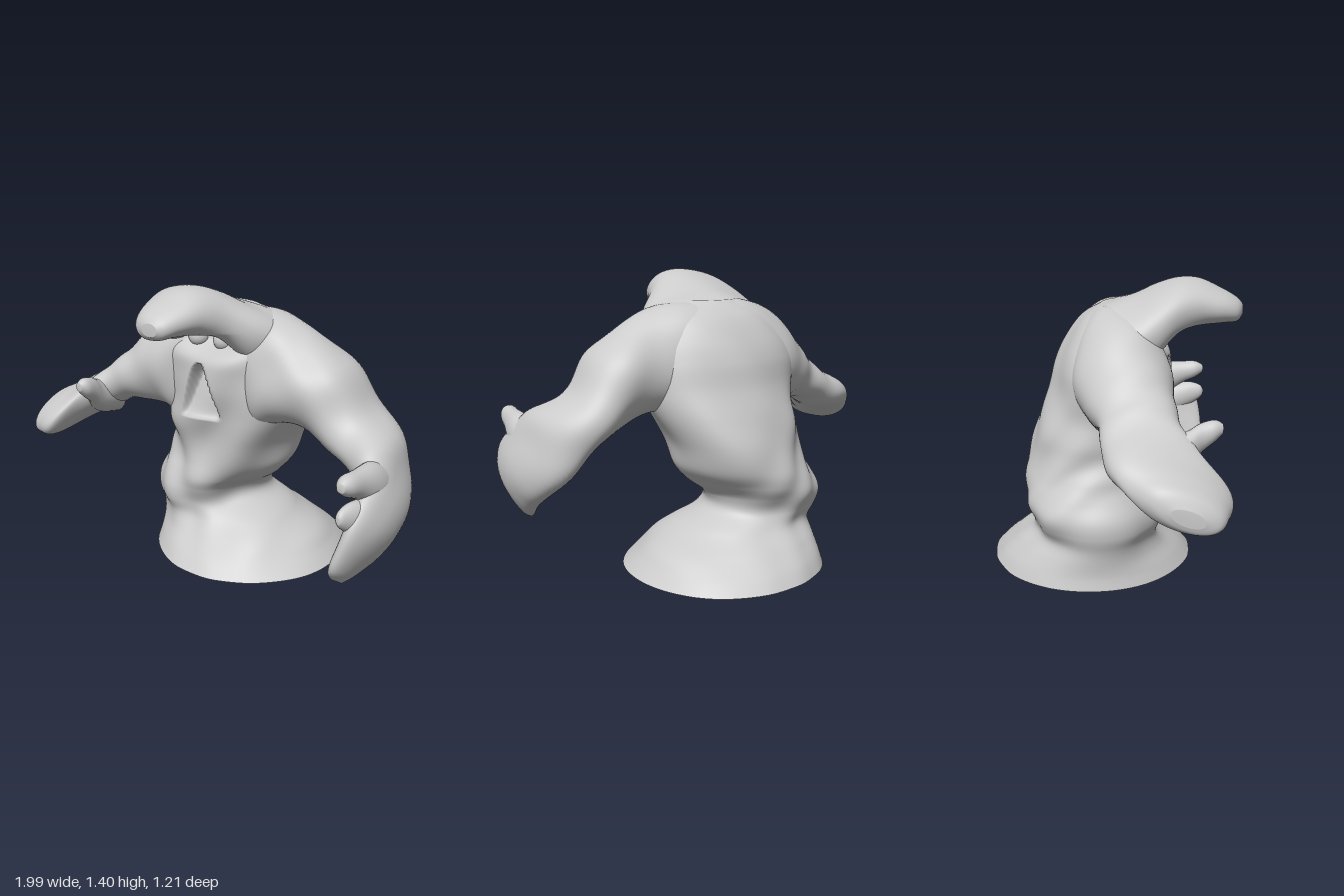
import * as THREE from 'three';

const material = new THREE.MeshStandardMaterial({ color: 0xcccccc });
const gauss = (d, w) => Math.exp(-(d * d) / (w * w));

// Smooth value between the rows of a section table
function sample(rows, t) {
  const n = rows.length - 1;
  const i = Math.min(Math.floor(t * n), n - 1);
  const f = t * n - i;
  const at = (k) => rows[Math.max(0, Math.min(n, k))];
  return rows[i].map((b, k) => {
    const a = at(i - 1)[k], c = at(i + 1)[k], d = at(i + 2)[k];
    return b + 0.5 * f * (c - a + f * (2 * a - 5 * b + 4 * c - d + f * (3 * (b - c) + d - a)));
  });
}

// Skin over sections of [centre xyz, half axis u xyz, half axis v xyz]
function loft(rows, rings, sides, power, shapePoint) {
  const pos = [], index = [];
  for (let r = 0; r <= rings; r++) {
    const s = sample(rows, r / rings);
    const c = new THREE.Vector3(s[0], s[1], s[2]);
    for (let j = 0; j < sides; j++) {
      const a = (j / sides) * Math.PI * 2;
      const cu = Math.sign(Math.cos(a)) * Math.abs(Math.cos(a)) ** power;
      const cv = Math.sign(Math.sin(a)) * Math.abs(Math.sin(a)) ** power;
      const p = new THREE.Vector3(s[3] * cu + s[6] * cv, s[4] * cu + s[7] * cv, s[5] * cu + s[8] * cv);
      const fade = Math.min(1, p.length() / 0.12);
      const out = p.clone().normalize();
      shapePoint(p.add(c), out, fade);
      pos.push(p.x, p.y, p.z);
    }
  }
  const end = rows[rows.length - 1];
  pos.push(end[0], end[1], end[2]);
  const tip = pos.length / 3 - 1;
  // Turn the faces outwards whichever way the sections run
  const m = rows[1], k = rows[2];
  const w = new THREE.Vector3(m[3], m[4], m[5]).cross(new THREE.Vector3(m[6], m[7], m[8]));
  const flip = w.dot(new THREE.Vector3(k[0] - m[0], k[1] - m[1], k[2] - m[2])) < 0;
  const tri = (a, b, c) => (flip ? index.push(a, c, b) : index.push(a, b, c));
  for (let r = 0; r < rings; r++) {
    for (let j = 0; j < sides; j++) {
      const a = r * sides + j, b = r * sides + (j + 1) % sides;
      tri(a, b, a + sides);
      tri(b, b + sides, a + sides);
    }
  }
  for (let j = 0; j < sides; j++) tri(rings * sides + j, rings * sides + (j + 1) % sides, tip);
  const g = new THREE.BufferGeometry();
  g.setAttribute('position', new THREE.Float32BufferAttribute(pos, 3));
  g.setIndex(index);
  g.computeVertexNormals();
  return g;
}

// Slanting cloth folds
function folds(p) {
  const warp = 1.2 * Math.sin(5 * p.x + 3 * p.y) + 0.8 * Math.sin(6 * p.z - 4 * p.y);
  return 0.013 * Math.sin(15 * p.y - 13 * p.x + 4 * p.z + warp)
    + 0.006 * Math.sin(19 * p.x + 9 * p.y - 8 * p.z + 2 * warp);
}

// Folds of the robe, with the eye slot and the pointed mouth pressed in at the front
function robe(p, out) {
  const low = THREE.MathUtils.smoothstep(p.y, 0, 0.3);
  const high = THREE.MathUtils.smoothstep(p.y, 0.65, 0.95);
  let inset = 0;
  if (out.z > 0) {
    inset = 0.11 * gauss(p.x, 0.2) * gauss(p.y - 1.13, 0.06);
    const t = (p.y - 0.75) / 0.27;
    if (t > 0 && t < 1) {
      const half = 0.105 * Math.sqrt(1 - t);
      inset += 0.1 * Math.sqrt(t) * THREE.MathUtils.smoothstep(half - Math.abs(p.x + 0.025), -0.008, 0.02);
    }
  }
  p.addScaledVector(out, folds(p) * (0.25 + (0.85 + 0.4 * out.z) * low * (1 - 0.7 * high)));
  p.z -= inset;
}

// Hood whose underside arches up over the eyes
function cowl(p, out, fade) {
  if (p.y < 1.2) p.y += (1.2 - p.y) * gauss(p.x + 0.02, 0.19) * THREE.MathUtils.smoothstep(p.z, 0.05, 0.2);
  p.addScaledVector(out, folds(p) * 0.4 * fade);
}

const sleeve = (p, out, fade) => p.addScaledVector(out, folds(p) * 0.6 * fade);

// [y, x from, x to, z from, z to]
const bodyRows = [
  [0, -0.47, 0.51, -0.61, 0.38], [0.06, -0.46, 0.45, -0.56, 0.33], [0.13, -0.46, 0.38, -0.48, 0.26],
  [0.2, -0.46, 0.25, -0.4, 0.21], [0.27, -0.47, 0.11, -0.39, 0.2], [0.35, -0.48, 0.11, -0.405, 0.21],
  [0.42, -0.46, 0.19, -0.415, 0.22], [0.5, -0.42, 0.26, -0.42, 0.22], [0.62, -0.365, 0.3, -0.405, 0.23],
  [0.75, -0.38, 0.36, -0.36, 0.25], [0.88, -0.4, 0.4, -0.31, 0.27], [1.0, -0.4, 0.41, -0.28, 0.27],
  [1.1, -0.37, 0.4, -0.235, 0.27], [1.2, -0.29, 0.33, -0.165, 0.26], [1.27, -0.14, 0.16, -0.07, 0.18],
].map(([y, x0, x1, z0, z1]) => [(x0 + x1) / 2, y, (z0 + z1) / 2, (x1 - x0) / 2, 0, 0, 0, 0, (z1 - z0) / 2]);

// [z, x from, x to, y from, y to]
const hoodRows = [
  [-0.2, -0.12, 0.12, 1.0, 1.1], [-0.1, -0.27, 0.28, 0.9, 1.24], [0, -0.33, 0.36, 0.9, 1.285],
  [0.1, -0.34, 0.34, 0.92, 1.315], [0.2, -0.31, 0.28, 0.98, 1.36], [0.3, -0.25, 0.2, 1.11, 1.39],
  [0.4, -0.2, 0.15, 1.17, 1.385], [0.5, -0.16, 0.11, 1.19, 1.345], [0.57, -0.11, 0.07, 1.195, 1.305],
  [0.6, -0.05, 0.03, 1.22, 1.275],
].map(([z, x0, x1, y0, y1]) => [(x0 + x1) / 2, (y0 + y1) / 2, z, (x1 - x0) / 2, 0, 0, 0, (y1 - y0) / 2, 0]);

// Both arms spring from one section inside the chest
const chest = [0, 1.0, -0.04, 0, 0.27, 0, 0, 0, 0.15];

const rightArmRows = [chest,
  [-0.22, 0.97, 0.03, -0.02, 0.28, 0, 0, 0, 0.215],
  [-0.37, 0.925, 0.05, -0.04, 0.21, 0, 0, 0, 0.21],
  [-0.55, 0.84, 0.11, -0.03, 0.12, 0, 0, 0, 0.17],
  [-0.7, 0.745, 0.16, 0.03, 0.125, 0.02, 0, -0.03, 0.2],
  [-0.82, 0.675, 0.25, 0.03, 0.1, 0.03, 0.02, -0.07, 0.23],
  [-0.91, 0.64, 0.28, 0.02, 0.095, 0.02, 0, -0.06, 0.19],
  [-0.97, 0.625, 0.3, 0.01, 0.075, 0.01, 0, -0.05, 0.14],
  [-0.995, 0.61, 0.3, 0, 0.035, 0, 0, -0.02, 0.07],
];

const leftArmRows = [chest,
  [0.22, 0.98, 0.02, 0.02, 0.275, 0, 0, 0, 0.21],
  [0.38, 0.97, 0.03, 0.06, 0.22, 0, 0, 0, 0.205],
  [0.55, 0.9, 0.01, 0.07, 0.165, 0, 0, 0, 0.21],
  [0.7, 0.77, 0.0, 0.06, 0.11, 0, 0, 0, 0.2],
  [0.82, 0.67, 0.05, 0.09, 0.09, 0, 0, 0.06, 0.21],
  [0.895, 0.56, 0.15, 0.085, 0.03, 0, 0, 0.12, 0.18],
  [0.91, 0.47, 0.27, 0.08, 0.02, 0, 0, 0.12, 0.18],
  [0.89, 0.38, 0.35, 0.065, 0.02, 0, 0, 0.1, 0.15],
  [0.85, 0.29, 0.4, 0.04, 0.01, 0, 0, 0.05, 0.09],
  [0.83, 0.25, 0.41, 0.015, 0, 0, 0, 0.02, 0.03],
];

// Fingers as [x, y, z, half width, half height], running forwards
const fingers = {
  rightThumb: [[-0.68, 0.73, 0.16, 0.1, 0.1], [-0.64, 0.76, 0.3, 0.07, 0.085], [-0.61, 0.81, 0.37, 0.048, 0.065],
    [-0.6, 0.84, 0.43, 0.04, 0.047], [-0.6, 0.85, 0.465, 0.018, 0.02]],
  leftThumb: [[0.87, 0.6, 0.12, 0.08, 0.12], [0.885, 0.655, 0.26, 0.07, 0.105], [0.885, 0.7, 0.38, 0.05, 0.065],
    [0.88, 0.72, 0.46, 0.042, 0.047], [0.88, 0.725, 0.505, 0.018, 0.02]],
  leftFinger: [[0.9, 0.5, 0.2, 0.08, 0.11], [0.9, 0.54, 0.34, 0.065, 0.09], [0.89, 0.57, 0.43, 0.045, 0.07],
    [0.88, 0.585, 0.49, 0.025, 0.04], [0.88, 0.585, 0.51, 0.01, 0.015]],
};

export function createModel() {
  const model = new THREE.Group();
  const add = (name, geometry) => {
    const mesh = new THREE.Mesh(geometry, material);
    mesh.name = name;
    model.add(mesh);
    return mesh;
  };

  // Robe and its flat underside
  const sides = 230;
  const body = loft(bodyRows, 170, sides, 1, robe);
  add('robe', body);
  const p = body.attributes.position;
  const rim = Array.from({ length: sides }, (_, j) => new THREE.Vector2(p.getX(j), p.getZ(j)));
  add('underside', new THREE.ShapeGeometry(new THREE.Shape(rim)).rotateX(Math.PI / 2));

  // Hood, arms and fingers
  add('hood', loft(hoodRows, 80, 100, 0.95, cowl));
  add('rightArm', loft(rightArmRows, 70, 64, 0.95, sleeve));
  add('leftArm', loft(leftArmRows, 80, 64, 0.95, sleeve));
  for (const [name, points] of Object.entries(fingers)) {
    const rows = points.map(([x, y, z, w, h]) => [x, y, z, w, 0, 0, 0, h, 0]);
    add(name, loft(rows, 24, 24, 1, () => {}));
  }

  // Eyes in the slot under the hood
  for (const x of [-0.09, 0.055]) {
    const eye = add('eye', new THREE.SphereGeometry(0.05, 24, 16));
    eye.position.set(x, 1.125, 0.165);
  }
  return model;
}
